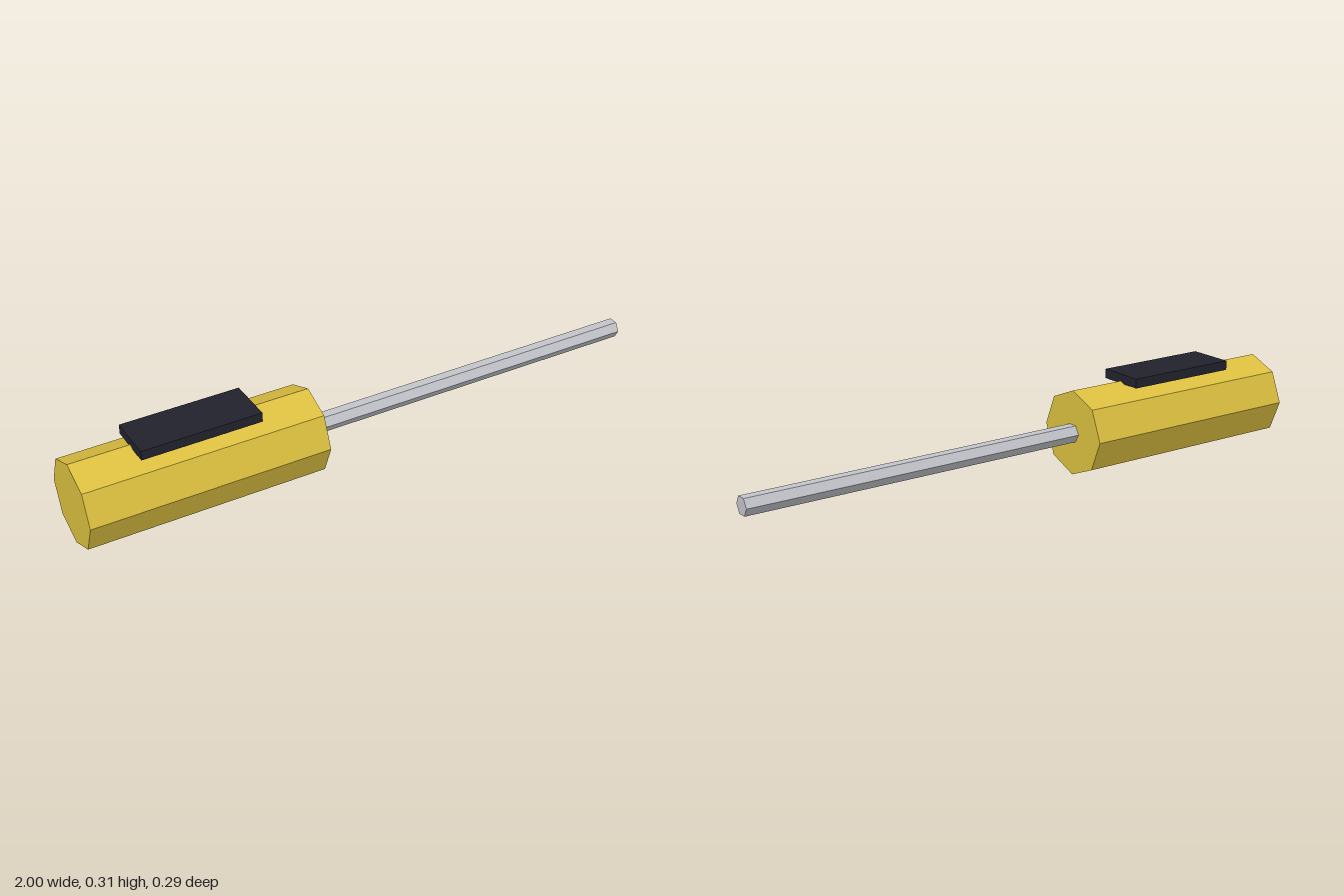
import * as THREE from 'three';

const material = (name, color) => {
  const m = new THREE.MeshStandardMaterial({ color, flatShading: true });
  m.name = name;
  return m;
};

export function createModel() {
  const yellow = material('yellow', 0xdcc040);
  const steel = material('steel', 0xc2c4ca);
  const black = material('black', 0x22222c);
  const model = new THREE.Group();
  model.name = 'screwdriver';
  const axisY = 0.144;

  // Faceted bar lying along x, with corners on the z axis
  const bar = (name, radius, sides, x0, x1, mat) => {
    const geometry = new THREE.CylinderGeometry(radius, radius, x1 - x0, sides);
    geometry.rotateZ(-Math.PI / 2);
    const mesh = new THREE.Mesh(geometry, mat);
    mesh.name = name;
    mesh.position.set((x0 + x1) / 2, axisY, 0);
    model.add(mesh);
  };

  // Octagonal handle and hexagonal shaft
  bar('handle', axisY, 8, -1, -0.2, yellow);
  bar('shaft', 0.032, 6, -0.2, 1, steel);

  // Flat grip pad on top of the handle
  const pad = new THREE.Mesh(new THREE.BoxGeometry(0.4, 0.032, 0.16), black);
  pad.name = 'gripPad';
  pad.position.set(-0.6, 0.296, 0);
  model.add(pad);

  return model;
}
